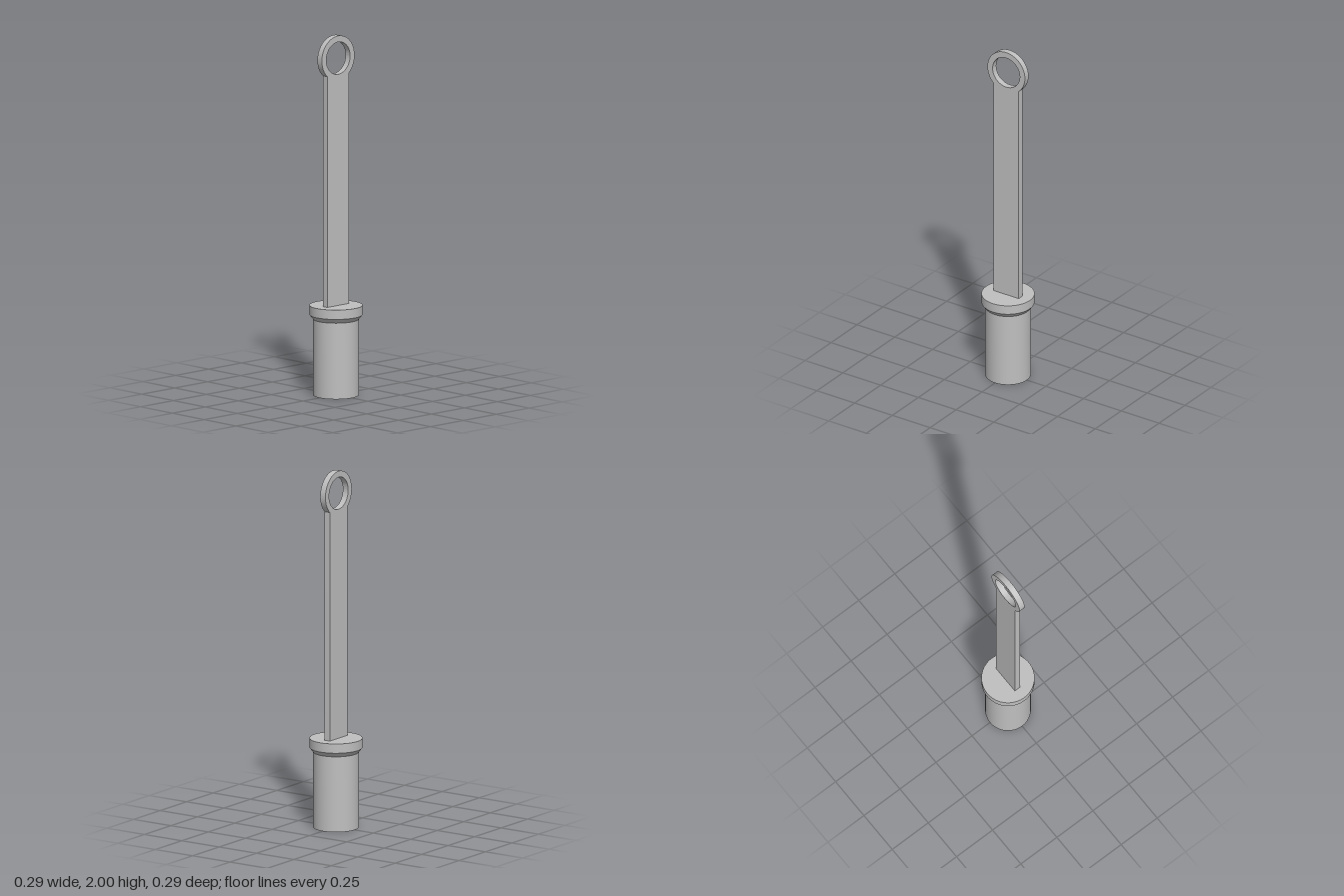
import * as THREE from 'three';
import { toCreasedNormals } from 'three/addons/utils/BufferGeometryUtils.js';

export function createModel() {
  const group = new THREE.Group();
  const grey = new THREE.MeshStandardMaterial({ color: 0xbfbfbf });
  grey.name = 'grey metal';

  const add = (name, geometry) => {
    const mesh = new THREE.Mesh(toCreasedNormals(geometry, 0.4), grey);
    mesh.name = name;
    group.add(mesh);
    return mesh;
  };

  // Cylindrical plug with a chamfered rim
  const profile = [
    [0, 0], [0.125, 0], [0.125, 0.423], [0.145, 0.448], [0.145, 0.5], [0, 0.5],
  ].map(([x, y]) => new THREE.Vector2(x, y));
  add('plug', new THREE.LatheGeometry(profile, 72));

  // Flat strap ending in a ring, cut as one plate
  const halfWidth = 0.083, ringY = 1.876, ringRadius = 0.124, holeRadius = 0.09;
  const thickness = 0.035;
  const joint = Math.acos(halfWidth / ringRadius);
  const outline = new THREE.Shape();
  outline.moveTo(-halfWidth, 0.5);
  outline.lineTo(halfWidth, 0.5);
  outline.absarc(0, ringY, ringRadius, -joint, Math.PI + joint, false);
  outline.closePath();

  const hole = new THREE.Path();
  hole.absarc(0, ringY, holeRadius, 0, Math.PI * 2, true);
  outline.holes.push(hole);

  const strap = add('strapWithRing', new THREE.ExtrudeGeometry(outline, {
    depth: thickness, bevelEnabled: false, curveSegments: 64,
  }));
  strap.position.z = -thickness / 2;

  return group;
}
